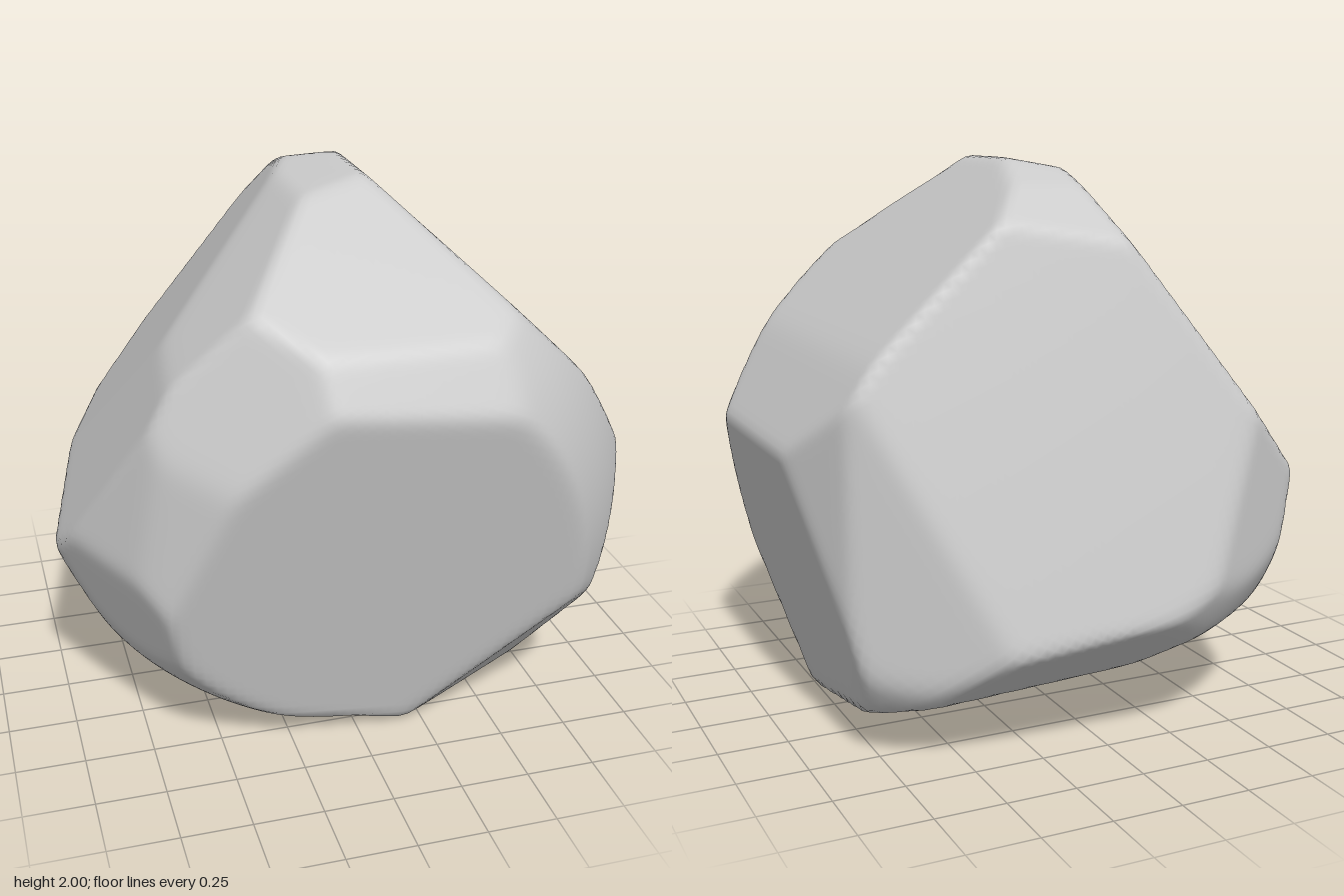
import * as THREE from 'three';
import { mergeVertices } from 'three/addons/utils/BufferGeometryUtils.js';

// Cut planes of the boulder: outward normal x, y, z and distance from its middle
const cuts = [
  [0.69, 0.72, 0, 0.803],         // upper right slope
  [0.836, 0.55, 0, 0.855],        // upper right shoulder
  [0.974, -0.226, 0, 0.966],      // right side
  [-0.695, 0.72, 0, 0.78],        // upper left slope, near the crest
  [-0.76, 0.6, -0.25, 0.697],     // upper left slope
  [-0.88, 0.47, -0.05, 0.762],    // upper left slope, lower end
  [-0.93, -0.15, -0.33, 0.945],   // left side
  [-0.87, -0.47, -0.1, 1.025],    // lower left
  [-0.828, -0.312, 0.47, 1.02],   // lower left front
  [-0.8, 0.1, 0.53, 0.935],       // left front edge
  [-0.6, 0.05, 0.8, 0.955],       // left front edge, nearer the front
  [-0.5, 0.3, 0.81, 0.945],       // front left bevel
  [-0.06, -0.233, 0.97, 0.79],    // front
  [0, 0.42, 0.91, 0.99],          // brow above the front
  [0, 0.82, 0.57, 0.945],         // front upper slope
  [-0.2, 0.98, 0, 0.965],         // crest
  [0, 0.95, -0.3, 0.997],         // rear of crest
  [0, 0.8, -0.6, 0.985],          // rear bevel
  [0.173, 0.216, -0.961, 0.769],  // back
  [0.53, 0, -0.85, 0.945],        // right back bevel
  [0.92, 0, -0.39, 1.02],         // right back edge
  [-0.425, 0, -0.905, 0.99],      // left back edge
  [0, -0.7, -0.7, 1.02],          // lower back bevel
  [-0.067, -0.975, -0.21, 0.872], // sloping underside
  [-0.3, -0.9, -0.3, 0.91],       // underside, left back
  [-0.17, -0.985, 0, 0.933],      // underside, left of the foot
  [-0.44, -0.89, 0, 0.985],       // underside, far left
  [0, -1, 0, 1.0],                // resting spot
  [0.377, -0.634, 0.673, 1.08],   // chipped front corner
].map(([x, y, z, d]) => ({ n: new THREE.Vector3(x, y, z), d }));

const foot = new THREE.Vector3(0.65, -0.75, 0).normalize(); // heavy lower right corner
const SHARP = 130; // higher gives tighter edges

// Distance to the surface along a direction: a ball trimmed softly by all cuts
function reach(dir) {
  const ball = 1.08 + 0.22 * Math.max(0, dir.dot(foot)) ** 3;
  let sum = ball ** -SHARP;
  for (const { n, d } of cuts) sum += Math.max(0, dir.dot(n) / d) ** SHARP;
  return sum ** (-1 / SHARP);
}

export function createModel() {
  const ball = new THREE.IcosahedronGeometry(1, 40);
  ball.deleteAttribute('uv');
  ball.deleteAttribute('normal');
  const geometry = mergeVertices(ball, 1e-4);

  const pos = geometry.attributes.position;
  const v = new THREE.Vector3();
  for (let i = 0; i < pos.count; i++) {
    v.fromBufferAttribute(pos, i).normalize();
    v.multiplyScalar(reach(v));
    pos.setXYZ(i, v.x, v.y + 1, v.z);
  }
  geometry.computeVertexNormals();

  const boulder = new THREE.Mesh(geometry, new THREE.MeshStandardMaterial({ color: 0xcccccc }));
  boulder.name = 'boulder';
  const group = new THREE.Group();
  group.name = 'rock';
  group.add(boulder);
  return group;
}
